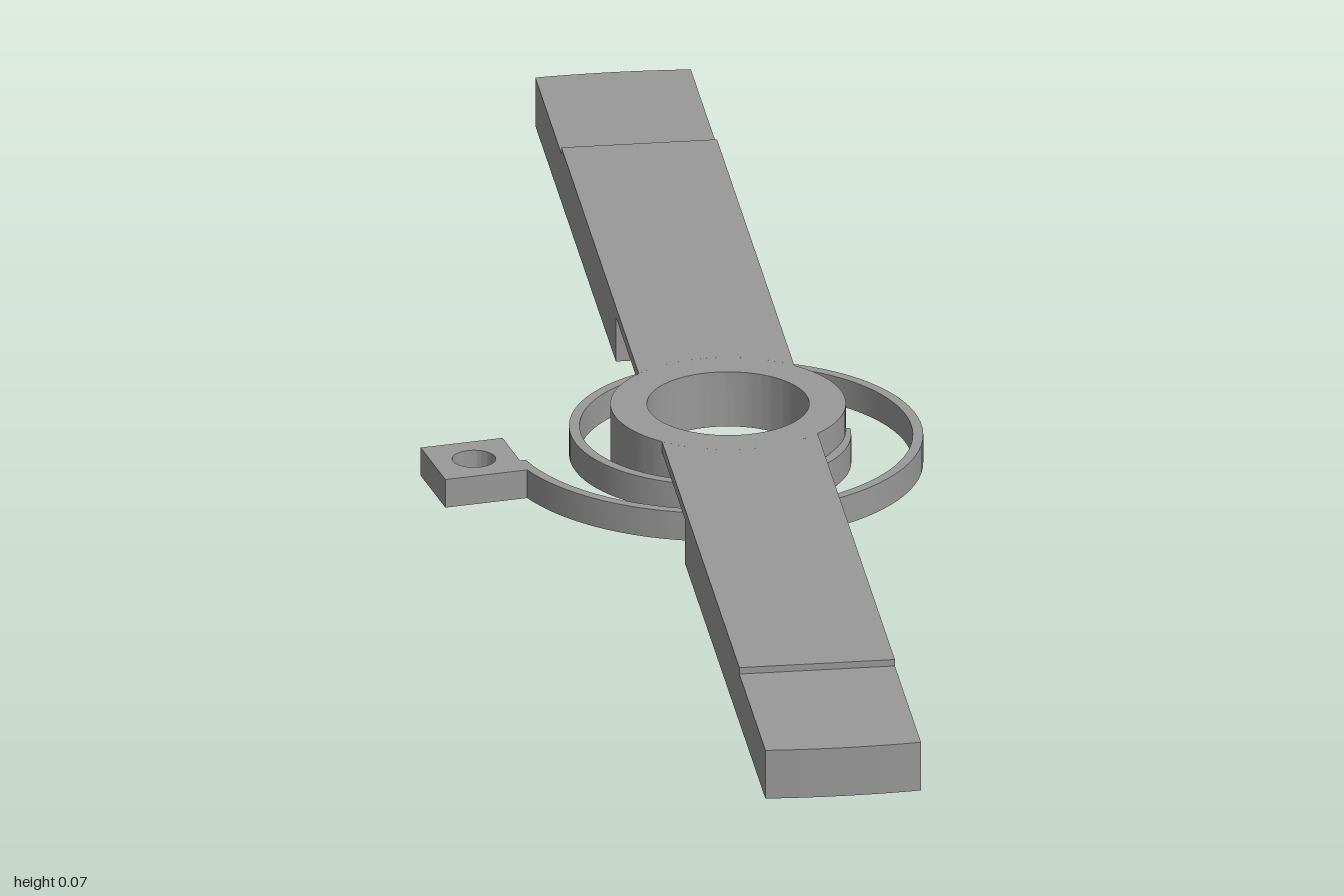
import * as THREE from 'three';
import { toCreasedNormals } from 'three/addons/utils/BufferGeometryUtils.js';

const HUB_X = 0.066, HALF_W = 0.09, HUB_R = 0.135, BORE_R = 0.093, SPRING_H = 0.035;

export function createModel() {
  const steel = new THREE.MeshStandardMaterial({ color: 0x999999 });
  steel.name = 'grey steel';
  const model = new THREE.Group();
  model.name = 'balanceBar';

  // Extrudes a plan outline (shape y = -z) from height y0 to y1
  const slab = (name, shape, y0, y1, parent) => {
    let geo = new THREE.ExtrudeGeometry(shape, { depth: y1 - y0, bevelEnabled: false, curveSegments: 48 });
    geo.rotateX(-Math.PI / 2);
    geo.translate(0, y0, 0);
    geo = toCreasedNormals(geo, 0.5);
    const mesh = new THREE.Mesh(geo, steel);
    mesh.name = name;
    parent.add(mesh);
    return mesh;
  };
  const circleHole = (x, y, r) => new THREE.Path().absarc(x, y, r, 0, Math.PI * 2, true);

  // Everything on the pivot axis shares this group
  const pivot = new THREE.Group();
  pivot.name = 'pivotAssembly';
  pivot.position.x = HUB_X;
  model.add(pivot);

  // Hub ring
  const hub = new THREE.Shape().absarc(0, 0, HUB_R, 0, Math.PI * 2, false);
  hub.holes.push(circleHole(0, 0, BORE_R));
  slab('hub', hub, 0, 0.068, pivot);

  // Plan outlines of one arm
  const hubAngle = Math.acos(HALF_W / HUB_R);
  const armRoot = (end) => {
    const s = new THREE.Shape();
    s.moveTo(HALF_W, HUB_R * Math.sin(hubAngle));
    s.lineTo(HALF_W, end);
    s.lineTo(-HALF_W, end);
    s.absarc(0, 0, HUB_R, Math.PI - hubAngle, hubAngle, true);
    return s;
  };
  const armBlock = () => {
    const a = Math.acos(HALF_W);
    const s = new THREE.Shape();
    s.moveTo(-HALF_W, 0.298);
    s.lineTo(HALF_W, 0.298);
    s.absarc(0, 0, 1, a, Math.PI - a, false);
    return s;
  };

  // Two opposite arms: thin bridge, raised top plate and heavy outer block
  ['back', 'front'].forEach((side, i) => {
    const arm = new THREE.Group();
    arm.name = side + 'Arm';
    arm.rotation.y = i * Math.PI;
    pivot.add(arm);
    slab('bridge', armRoot(0.298), 0.055, 0.06, arm);
    slab('topPlate', armRoot(0.77), 0.06, 0.068, arm);
    if (i === 0) {
      // Blind round pocket under the back block
      const lower = armBlock();
      lower.holes.push(circleHole(0, 0.35, 0.05));
      slab('pocketedBlock', lower, 0, 0.04, arm);
      slab('blockRoof', armBlock(), 0.04, 0.06, arm);
    } else {
      slab('block', armBlock(), 0, 0.06, arm);
    }
  });

  // Flat spiral spring winding from the anchor tab into the hub
  const outer = [], inner = [], steps = 120;
  const startDeg = 167, endDeg = -355;
  for (let i = 0; i <= steps; i++) {
    const t = i / steps;
    const a = THREE.MathUtils.degToRad(THREE.MathUtils.lerp(startDeg, endDeg, t));
    const r = THREE.MathUtils.lerp(0.254, 0.134, t);
    const at = (q) => new THREE.Vector2(Math.cos(a) * q, -Math.sin(a) * q);
    outer.push(at(r + 0.006));
    inner.push(at(r - 0.006));
  }
  slab('spiralSpring', new THREE.Shape([...outer, ...inner.reverse()]), 0, SPRING_H, pivot);

  // Square anchor tab with a screw hole
  const h = 0.049;
  const tab = new THREE.Shape([[-h, -h], [h, -h], [h, h], [-h, h]].map(([x, y]) => new THREE.Vector2(x, y)));
  tab.holes.push(circleHole(0, 0, 0.025));
  const anchor = slab('anchorTab', tab, 0, SPRING_H, model);
  anchor.position.set(-0.234, 0, 0.045);
  anchor.rotation.y = 0.16;

  return model;
}
